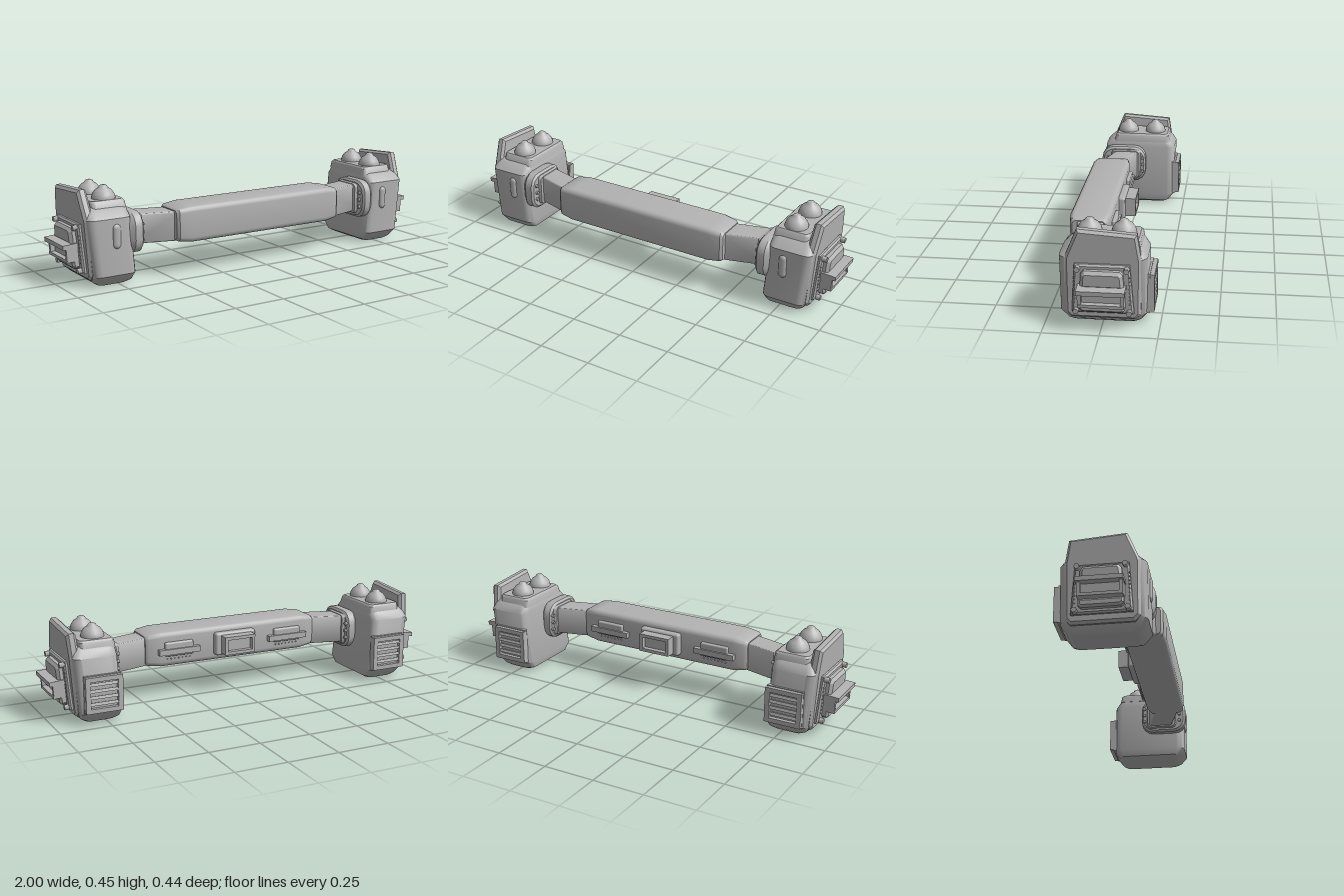
import * as THREE from 'three';
import { toCreasedNormals } from 'three/addons/utils/BufferGeometryUtils.js';
import { RoundedBoxGeometry } from 'three/addons/geometries/RoundedBoxGeometry.js';

const metal = new THREE.MeshStandardMaterial({ color: 0xb3b3b3 });
metal.name = 'grey metal';

function add(parent, name, geometry, x = 0, y = 0, z = 0) {
  const mesh = new THREE.Mesh(geometry, metal);
  mesh.name = name;
  mesh.position.set(x, y, z);
  parent.add(mesh);
  return mesh;
}

// Box given by its limits, optionally with rounded edges
function box(parent, name, [x0, x1], [y0, y1], [z0, z1], r = 0) {
  const s = [x1 - x0, y1 - y0, z1 - z0];
  const g = r ? new RoundedBoxGeometry(...s, 2, r) : new THREE.BoxGeometry(...s);
  return add(parent, name, g, (x0 + x1) / 2, (y0 + y1) / 2, (z0 + z1) / 2);
}

// Skin through rounded rectangles [w, u0, u1, v0, v1, radius].
// Along y: w = y, u = x, v = z. Along x: w = x, u = z, v = y.
function loft(sections, alongX = false, crease = 0.6) {
  const pos = [], index = [], steps = 4, n = 4 * (steps + 1);
  const put = (u, w, v) => (alongX ? pos.push(w, v, u) : pos.push(u, w, v));
  for (const [w, u0, u1, v0, v1, r] of sections) {
    const corners = [[u1 - r, v1 - r], [u0 + r, v1 - r], [u0 + r, v0 + r], [u1 - r, v0 + r]];
    corners.forEach(([cu, cv], c) => {
      for (let i = 0; i <= steps; i++) {
        const a = (c + i / steps) * Math.PI / 2;
        put(cu + r * Math.cos(a), w, cv + r * Math.sin(a));
      }
    });
  }
  for (let k = 0; k < sections.length - 1; k++) {
    for (let i = 0; i < n; i++) {
      const a = k * n + i, b = k * n + (i + 1) % n;
      index.push(a, a + n, b, b, a + n, b + n);
    }
  }
  const last = (sections.length - 1) * n;
  for (let i = 1; i < n - 1; i++) {
    index.push(0, i, i + 1, last, last + i + 1, last + i);
  }
  const g = new THREE.BufferGeometry();
  g.setAttribute('position', new THREE.Float32BufferAttribute(pos, 3));
  g.setIndex(index);
  return toCreasedNormals(g, crease);
}

// Bevelled plate facing +x, outlined by [-z, y] points, spanning x0..x1
function sidePlate(parent, name, points, x0, x1, bevel) {
  const shape = new THREE.Shape(points.map(([a, b]) => new THREE.Vector2(a, b)));
  const g = new THREE.ExtrudeGeometry(shape, {
    depth: x1 - x0 - 2 * bevel, bevelEnabled: true, bevelSegments: 1,
    bevelSize: bevel, bevelThickness: bevel, bevelOffset: -bevel,
  });
  g.rotateY(Math.PI / 2);
  return add(parent, name, g, x0 + bevel);
}

function sideBolt(parent, name, r, h, x, y, z) {
  const g = new THREE.CylinderGeometry(r, r, h, 6).rotateZ(Math.PI / 2);
  return add(parent, name, g, x, y, z);
}

// Armoured outer face, leaning outward at the top
function outerFace() {
  const pivot = new THREE.Group(), face = new THREE.Group();
  pivot.name = 'outerArmour';
  pivot.position.set(0.9, 0.2, 0);
  pivot.rotation.z = -0.07;
  face.position.set(-0.9, -0.2, 0);
  pivot.add(face);
  sidePlate(face, 'shield', [[-0.135, 0.033], [0.145, 0.033], [0.168, 0.06], [0.17, 0.32],
    [0.152, 0.434], [-0.105, 0.452], [-0.16, 0.32], [-0.16, 0.06]], 0.86, 0.907, 0.012);
  sidePlate(face, 'raisedPanel', [[-0.13, 0.07], [0.14, 0.07], [0.122, 0.3], [-0.115, 0.3]], 0.9, 0.925, 0.008);
  for (const [y, z] of [[0.285, 0.1], [0.285, -0.11], [0.083, 0.11], [0.083, -0.12]]) {
    sideBolt(face, 'panelBolt', 0.013, 0.03, 0.93, y, z);
  }
  for (let i = 0; i < 8; i++) {
    for (const z of [0.116, -0.122]) {
      add(face, 'rivet', new THREE.SphereGeometry(0.004, 6, 4), 0.925, 0.12 + i * 0.018, z);
    }
  }
  // Hooded intake with a projecting shelf
  sidePlate(face, 'intakeHood', [[-0.09, 0.2], [0.1, 0.2], [0.095, 0.265], [0.082, 0.28],
    [-0.072, 0.28], [-0.085, 0.265]], 0.91, 0.955, 0.014);
  box(face, 'intakeShelf', [0.92, 0.998], [0.19, 0.211], [-0.108, 0.1]);
  for (const z of [0.088, -0.095]) box(face, 'intakePost', [0.92, 0.982], [0.13, 0.19], [z - 0.008, z + 0.008]);
  box(face, 'intakeCore', [0.92, 0.96], [0.138, 0.192], [-0.09, 0.083]);
  box(face, 'intakeSill', [0.92, 0.984], [0.126, 0.14], [-0.103, 0.095]);
  sidePlate(face, 'intakeFoot', [[-0.08, 0.088], [0.09, 0.088], [0.103, 0.1], [0.103, 0.127],
    [-0.095, 0.127], [-0.095, 0.1]], 0.91, 0.955, 0.01);
  return pivot;
}

// One end pod with its arm, built on the +x side
function createPod() {
  const pod = new THREE.Group();
  pod.name = 'endPod';
  add(pod, 'podBody', loft([
    [0.004, 0.70, 0.845, -0.15, 0.14, 0.03],
    [0.018, 0.675, 0.865, -0.168, 0.16, 0.035],
    [0.055, 0.667, 0.885, -0.195, 0.187, 0.04],
    [0.32, 0.69, 0.91, -0.195, 0.187, 0.04],
    [0.352, 0.692, 0.9, -0.175, 0.155, 0.04],
    [0.368, 0.7, 0.885, -0.155, 0.125, 0.03],
  ]));
  pod.add(outerFace());

  // Twin domes on a raised deck
  add(pod, 'domeDeck', loft([
    [0.35, 0.69, 0.865, -0.168, 0.14, 0.02],
    [0.385, 0.695, 0.865, -0.162, 0.13, 0.02],
    [0.394, 0.703, 0.86, -0.154, 0.122, 0.02],
  ]));
  const profile = [[0.055, 0], [0.055, 0.01], [0.05, 0.025], [0.038, 0.042], [0.022, 0.052],
    [0.018, 0.06], [0.012, 0.064], [0, 0.065]].map(([r, y]) => new THREE.Vector2(r, y));
  for (const z of [-0.083, 0.067]) add(pod, 'dome', new THREE.LatheGeometry(profile, 24), 0.777, 0.391, z);

  // Front capsule
  const capsule = add(pod, 'frontCapsule', new THREE.CapsuleGeometry(0.02, 0.075, 6, 14), 0.772, 0.237, 0.184);
  capsule.scale.z = 0.7;

  // Louvred vent on the back
  const vent = new THREE.Group();
  vent.name = 'backVent';
  pod.add(vent);
  box(vent, 'ventBase', [0.685, 0.865], [0.06, 0.24], [-0.204, -0.185]);
  for (const x of [0.695, 0.852]) box(vent, 'ventSide', [x - 0.012, x + 0.012], [0.065, 0.235], [-0.223, -0.19]);
  for (const y of [0.075, 0.225]) box(vent, 'ventRail', [0.69, 0.858], [y - 0.011, y + 0.011], [-0.223, -0.19]);
  for (let i = 0; i < 4; i++) {
    const slat = box(vent, 'ventSlat', [0.7, 0.848], [0.097 + i * 0.031, 0.112 + i * 0.031], [-0.219, -0.198]);
    slat.rotation.x = 0.3;
  }

  // Collar joining arm and pod
  add(pod, 'collar', loft([
    [0.637, -0.03, 0.19, 0.15, 0.322, 0.06],
    [0.646, -0.04, 0.2, 0.14, 0.333, 0.065],
    [0.682, -0.04, 0.2, 0.14, 0.333, 0.065],
    [0.71, -0.02, 0.175, 0.15, 0.322, 0.06],
  ], true));
  add(pod, 'collarFlange', loft([
    [0.622, -0.005, 0.145, 0.163, 0.315, 0.02],
    [0.645, -0.015, 0.15, 0.158, 0.32, 0.02],
  ], true));
  for (const z of [-0.024, 0.168]) {
    for (const y of [0.2, 0.237, 0.274]) sideBolt(pod, 'collarBolt', 0.009, 0.016, 0.634, y, z);
  }
  add(pod, 'arm', loft([
    [0.44, 0.055, 0.18, 0.17, 0.312, 0.008],
    [0.66, -0.005, 0.117, 0.17, 0.312, 0.008],
  ], true));
  return pod;
}

export function createModel() {
  const model = new THREE.Group();
  model.name = 'barWithEndPods';

  // Central grip bar
  add(model, 'centralBar', loft([
    [-0.467, 0.04, 0.195, 0.178, 0.317, 0.02],
    [-0.455, 0.03, 0.206, 0.17, 0.325, 0.022],
    [-0.39, 0.02, 0.215, 0.161, 0.334, 0.025],
    [0.39, 0.02, 0.215, 0.161, 0.334, 0.025],
    [0.455, 0.03, 0.206, 0.17, 0.325, 0.022],
    [0.467, 0.04, 0.195, 0.178, 0.317, 0.02],
  ], true));

  // Open box on the back of the bar
  const backBox = new THREE.Group();
  backBox.name = 'backBox';
  model.add(backBox);
  box(backBox, 'boxBase', [-0.11, 0.11], [0.19, 0.305], [-0.01, 0.04], 0.012);
  box(backBox, 'boxFloor', [-0.08, 0.08], [0.205, 0.29], [-0.035, 0]);
  for (const y of [0.21, 0.285]) box(backBox, 'boxWall', [-0.082, 0.082], [y - 0.008, y + 0.008], [-0.06, 0]);
  for (const x of [-0.074, 0.074]) box(backBox, 'boxEnd', [x - 0.008, x + 0.008], [0.21, 0.285], [-0.06, 0]);

  // Low latches either side of it
  for (const side of [-1, 1]) {
    const latch = new THREE.Group();
    latch.name = 'backLatch';
    latch.position.x = side * 0.3;
    model.add(latch);
    box(latch, 'latchPlate', [-0.075, 0.075], [0.215, 0.285], [0.004, 0.035], 0.008);
    box(latch, 'latchStrip', [-0.108, 0.108], [0.225, 0.253], [-0.004, 0.03]);
    for (let i = 0; i < 7; i++) {
      add(latch, 'latchRivet', new THREE.SphereGeometry(0.004, 6, 4), -0.06 + i * 0.02, 0.2, 0.02);
    }
  }

  // Mirrored end pods
  const left = createPod(), right = createPod();
  left.name = 'leftPod';
  right.name = 'rightPod';
  right.scale.x = -1;
  model.add(left, right);
  return model;
}
